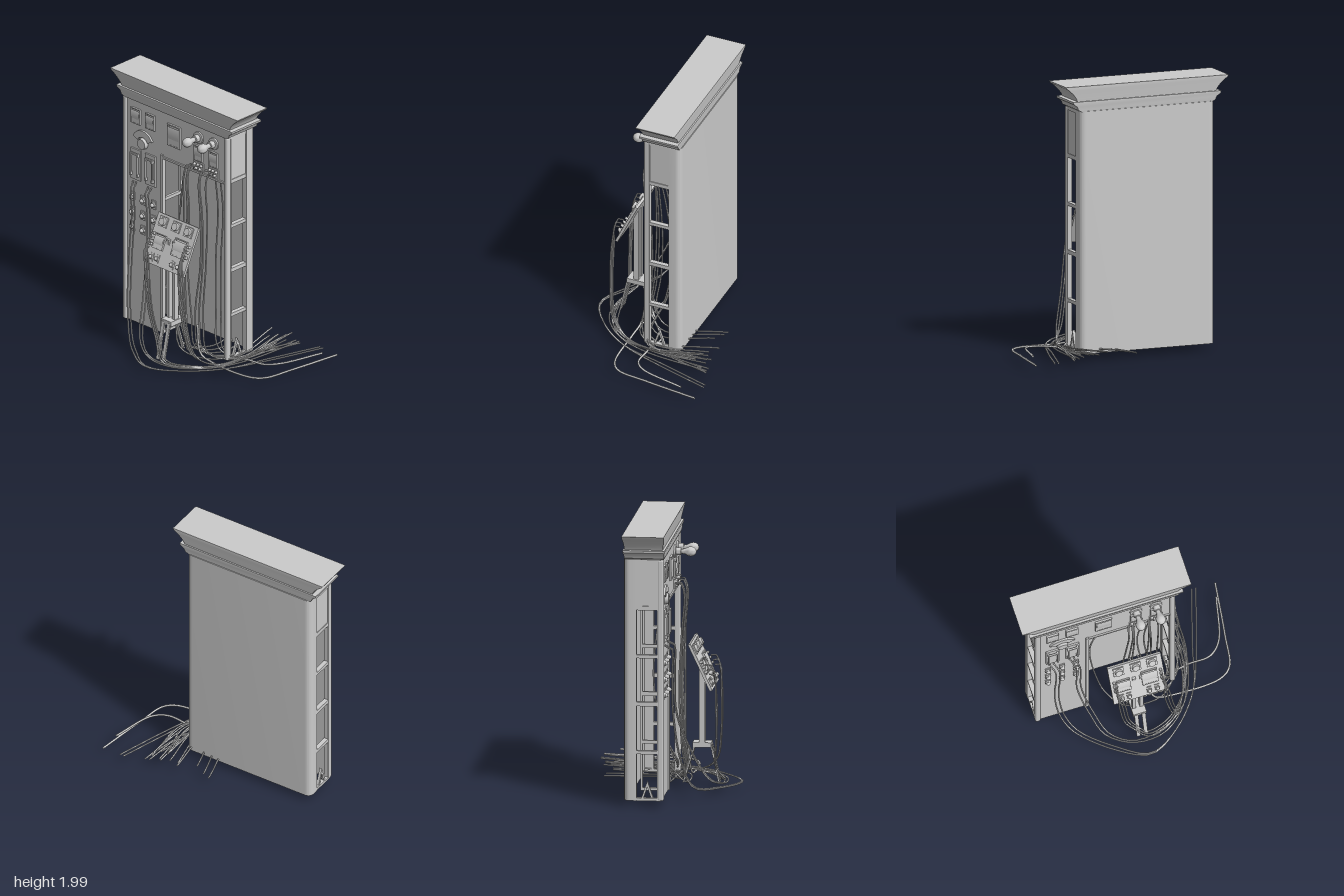
import * as THREE from 'three';
import { RoundedBoxGeometry } from 'three/addons/geometries/RoundedBoxGeometry.js';
import { toCreasedNormals } from 'three/addons/utils/BufferGeometryUtils.js';

const grey = new THREE.MeshStandardMaterial({ color: 0xcccccc, side: THREE.DoubleSide });
const CX = -0.2; // cabinet centre in x
const FACE = 0.052; // front of the panel

function add(parent, name, geo, x = 0, y = 0, z = 0) {
  const m = new THREE.Mesh(geo, grey);
  m.name = name;
  m.position.set(x, y, z);
  parent.add(m);
  return m;
}
const box = (w, h, d) => new THREE.BoxGeometry(w, h, d);
const extrude = (shape, depth) => new THREE.ExtrudeGeometry(shape, { depth, bevelEnabled: false, curveSegments: 10 });
const poly = pts => new THREE.Shape(pts.map(p => new THREE.Vector2(...p)));
const rect = (C, x0, y0, x1, y1) => new C([[x0, y0], [x1, y0], [x1, y1], [x0, y1]].map(p => new THREE.Vector2(...p)));
const disc = (r0, r1, d) => new THREE.CylinderGeometry(r0, r1, d, 18).rotateX(Math.PI / 2);

// Stacked rectangular rings: [y, half width, front z, back z]
function rectLoft(rings) {
  const pos = [], idx = [];
  rings.forEach(([y, hw, zf, zb]) => pos.push(-hw, y, zf, hw, y, zf, hw, y, zb, -hw, y, zb));
  for (let i = 0; i < rings.length - 1; i++) {
    for (let j = 0; j < 4; j++) {
      const a = i * 4 + j, b = i * 4 + (j + 1) % 4;
      idx.push(a, b, b + 4, a, b + 4, a + 4);
    }
  }
  const t = (rings.length - 1) * 4;
  idx.push(0, 2, 1, 0, 3, 2, t, t + 1, t + 2, t, t + 2, t + 3);
  const g = new THREE.BufferGeometry();
  g.setAttribute('position', new THREE.Float32BufferAttribute(pos, 3));
  g.setIndex(idx);
  g.computeVertexNormals();
  return toCreasedNormals(g, 0.6);
}

// Dial meter: raised frame, bulging dial and lower cover
function meter(parent, x, y, w, h) {
  const g = new THREE.Group();
  g.name = 'meter';
  g.position.set(x, y, parent.userData.face);
  const f = rect(THREE.Shape, -w / 2, -h / 2, w / 2, h / 2);
  f.holes.push(rect(THREE.Path, -w * 0.43, -h * 0.44, w * 0.43, h * 0.44));
  add(g, 'meterFrame', extrude(f, 0.014));
  const dial = new THREE.CylinderGeometry(h * 0.35, h * 0.35, w * 0.86, 12, 1, true, -0.9, 1.8).rotateZ(Math.PI / 2);
  const bow = add(g, 'meterDial', dial, 0, h * 0.1, 0.006);
  bow.rotation.x = 0;
  bow.scale.z = 0.03 / h;
  add(g, 'meterCover', box(w * 0.86, h * 0.36, 0.012), 0, -h * 0.26, 0.006);
  parent.add(g);
}

function knob(parent, x, y, s = 1) {
  const z = parent.userData.face;
  add(parent, 'knobPlate', box(0.042 * s, 0.07 * s, 0.008), x, y, z + 0.003);
  add(parent, 'knobRing', disc(0.02 * s, 0.022 * s, 0.014), x, y, z + 0.01);
  add(parent, 'knobCap', new THREE.SphereGeometry(0.016 * s, 12, 8), x, y, z + 0.018);
}

function knifeSwitch(parent, x) {
  add(parent, 'switchPlate', box(0.1, 0.24, 0.014), x, 1.31, FACE + 0.005);
  for (const s of [-1, 1]) {
    add(parent, 'switchBlade', box(0.009, 0.16, 0.012), x + s * 0.034, 1.32, FACE + 0.026);
    for (const y of [1.235, 1.39]) add(parent, 'switchClip', box(0.014, 0.022, 0.026), x + s * 0.034, y, FACE + 0.02);
  }
  add(parent, 'switchLever', box(0.07, 0.012, 0.012), x, 1.4, FACE + 0.028);
}

function socket(parent, x) {
  add(parent, 'socketPlate', box(0.1, 0.07, 0.01), x, 1.495, FACE + 0.004);
  for (const [dx, dy] of [[-0.032, 0.016], [0.032, 0.016], [0, 0.018], [-0.018, -0.014], [0.018, -0.014]])
    add(parent, 'socketPin', disc(0.009, 0.012, 0.024), x + dx, 1.495 + dy, FACE + 0.016);
}

function bulb(parent, x) {
  const profile = [[0, 0.158], [0.018, 0.153], [0.031, 0.138], [0.036, 0.118], [0.032, 0.098], [0.02, 0.076],
    [0.017, 0.05], [0.027, 0.048], [0.027, 0.014], [0.046, 0.012], [0.046, 0]];
  const g = new THREE.LatheGeometry(profile.reverse().map(p => new THREE.Vector2(...p)), 20).rotateX(Math.PI / 2);
  add(parent, 'lampBulb', toCreasedNormals(g, 0.7), x, 1.725, FACE);
}

// Side frame with open bays; shape drawn in (z, y)
function ladder(parent, name, x, thick) {
  const s = rect(THREE.Shape, -0.145, 0.055, 0.045, 1.815);
  for (const [a, b] of [[1.475, 1.79], [1.12, 1.445], [0.775, 1.095], [0.42, 0.745], [0.075, 0.395]])
    s.holes.push(rect(THREE.Path, -0.13, a, 0.02, b));
  add(parent, name, extrude(s, thick).rotateY(-Math.PI / 2), x + thick / 2);
}

function cable(parent, pts, r = 0.006) {
  const c = new THREE.CatmullRomCurve3(pts.map(p => new THREE.Vector3(...p)), false, 'centripetal');
  add(parent, 'cable', new THREE.TubeGeometry(c, 44, r, 6));
}

function buildCabinet(parent) {
  // Back shell with rounded rear corners, drawn in (x, -z)
  const s = new THREE.Shape();
  s.moveTo(-0.525, 0.13).lineTo(-0.525, 0.17).quadraticCurveTo(-0.525, 0.222, -0.475, 0.222);
  s.lineTo(0.475, 0.222).quadraticCurveTo(0.525, 0.222, 0.525, 0.17).lineTo(0.525, 0.13);
  s.lineTo(0.495, 0.13).lineTo(0.495, 0.195).lineTo(-0.495, 0.195).lineTo(-0.495, 0.13);
  add(parent, 'backShell', toCreasedNormals(extrude(s, 1.76).rotateX(-Math.PI / 2), 0.6), CX, 0.055);

  for (const side of [-1, 1]) {
    const x = CX + side * 0.505;
    add(parent, 'frontPost', new RoundedBoxGeometry(0.04, 1.76, 0.045, 3, 0.014), x, 0.935, 0.043);
    ladder(parent, 'sideFrame', x, 0.034);
    add(parent, 'sideTopPanel', box(0.016, 0.33, 0.16), x + side * 0.004, 1.63, -0.055);
    // Peaked foot strut at the base of each side
    const v = poly([[-0.1, 0.06], [-0.052, 0.2], [-0.004, 0.06], [-0.02, 0.06], [-0.052, 0.155], [-0.084, 0.06]]);
    add(parent, 'footStrut', extrude(v, 0.02).rotateY(-Math.PI / 2), x + 0.01);
  }
  ladder(parent, 'innerFrame', -0.345, 0.022);

  // Front panel wraps over and beside the open bay
  const p = poly([[-0.69, 0.06], [-0.34, 0.06], [-0.34, 1.45], [0.285, 1.45], [0.285, 1.815], [-0.69, 1.815]]);
  add(parent, 'frontPanel', extrude(p, 0.022), 0, 0, FACE - 0.022);
  add(parent, 'bayTrim', box(0.02, 1.41, 0.03), -0.335, 0.765, 0.048);
  add(parent, 'bayTrim', box(0.625, 0.016, 0.03), -0.028, 1.45, 0.048);

  add(parent, 'lowerCornice', rectLoft([[1.81, 0.505, 0.064, -0.215], [1.825, 0.535, 0.069, -0.218],
    [1.85, 0.545, 0.07, -0.219], [1.872, 0.575, 0.077, -0.224], [1.888, 0.577, 0.077, -0.224]]), CX + 0.005);
  add(parent, 'upperCornice', rectLoft([[1.886, 0.54, 0.06, -0.213], [1.91, 0.55, 0.064, -0.216],
    [1.94, 0.573, 0.07, -0.219], [1.97, 0.605, 0.075, -0.223], [1.985, 0.627, 0.078, -0.225],
    [2, 0.635, 0.079, -0.225]]), CX + 0.005);
}

function buildInstruments(parent) {
  parent.userData.face = FACE;
  meter(parent, -0.595, 1.69, 0.09, 0.12);
  meter(parent, -0.45, 1.69, 0.09, 0.12);
  meter(parent, -0.213, 1.655, 0.125, 0.17);
  for (const x of [0.03, 0.18]) {
    bulb(parent, x);
    meter(parent, x, 1.6, 0.082, 0.12);
    socket(parent, x);
  }
  // Fan dial with rotary knob
  const fan = new THREE.Shape();
  fan.absarc(0, 0, 0.105, 0.45, Math.PI - 0.45, false);
  fan.absarc(0, 0, 0.055, Math.PI - 0.45, 0.45, true);
  add(parent, 'fanDial', extrude(fan, 0.014), -0.523, 1.49, FACE);
  add(parent, 'rotaryKnob', disc(0.038, 0.044, 0.03), -0.523, 1.495, FACE + 0.013);
  for (const x of [-0.595, -0.447]) knifeSwitch(parent, x);
  for (const x of [-0.63, -0.525, -0.42]) for (const y of [1.045, 0.925, 0.81]) knob(parent, x, y);
}

function buildDesk(parent) {
  const desk = new THREE.Group();
  desk.name = 'tiltedConsole';
  desk.position.set(-0.03, 0.932, 0.268);
  desk.rotation.x = -0.44;
  desk.userData.face = 0.01;
  add(desk, 'consolePlate', box(0.4, 0.37, 0.02));
  for (const x of [-0.125, 0.003, 0.125]) {
    add(desk, 'smallDialPlate', box(0.078, 0.075, 0.012), x, 0.13, 0.013);
    add(desk, 'smallDial', disc(0.026, 0.03, 0.022), x, 0.13, 0.026);
  }
  meter(desk, -0.105, -0.015, 0.1, 0.11);
  meter(desk, 0.09, -0.005, 0.12, 0.13);
  for (const x of [-0.135, -0.08, 0.07, 0.13]) knob(desk, x, -0.135, 0.85);
  for (const x of [-0.172, 0.176]) for (const y of [-0.05, -0.01, 0.03])
    add(desk, 'consolePin', disc(0.009, 0.011, 0.03), x, y, 0.02);
  parent.add(desk);

  // Twin posts, clamp block and splayed strap legs
  for (const x of [-0.055, 0]) {
    add(parent, 'standPost', box(0.026, 0.62, 0.04), x, 0.655, 0.262);
    for (const [z0, z1] of [[0.32, 0.383], [0.205, 0.125]]) {
      const leg = poly([[z0, 0.34], [z0 + 0.012, 0.34], [z1 + 0.008, 0.06], [z1 - 0.004, 0.06]]);
      add(parent, 'standLeg', extrude(leg, 0.028).rotateY(-Math.PI / 2), x + 0.014);
    }
  }
  add(parent, 'standBlock', box(0.1, 0.036, 0.135), -0.027, 0.337, 0.262);
}

function buildCables(parent) {
  // Two pairs from the left switches sweep across the floor and round the right side
  for (const d of [0, 1]) {
    const o = d * 0.03;
    cable(parent, [[-0.62 + o, 1.17, 0.06], [-0.595 + o, 1.14, 0.11], [-0.585 + o, 0.95, 0.11], [-0.6 + o, 0.65, 0.12],
      [-0.57 + o, 0.32, 0.17], [-0.48 + o, 0.11, 0.25], [-0.25, 0.07, 0.44 - o], [-0.01, 0.066, 0.55 - o * 0.3],
      [0.22, 0.066, 0.42], [0.42, 0.07, 0.18], [0.55 - o, 0.07, -0.15], [0.675 - o, 0.07, -0.555]]);
    cable(parent, [[-0.47 + o, 1.17, 0.06], [-0.45 + o, 1.14, 0.11], [-0.43 + o, 0.98, 0.11], [-0.43 + o, 0.65, 0.12],
      [-0.37 + o, 0.35, 0.22], [-0.28 + o, 0.13, 0.34], [-0.1, 0.07, 0.43 - o * 0.5], [0.13, 0.066, 0.42 - o],
      [0.33, 0.068, 0.25], [0.41 + o, 0.075, 0], [0.46 + o, 0.08, -0.5]]);
  }
  // Socket leads: [start x, mid x, low x, end x, end z]
  [[-0.03, -0.09, -0.11, -0.01, -0.45], [0, -0.05, -0.03, 0.04, -0.44], [0.01, -0.02, 0.02, 0.12, -0.4],
    [0.12, 0.09, 0.06, 0.235, -0.485], [0.13, 0.12, 0.1, 0.27, -0.42], [0.19, 0.16, 0.14, 0.325, -0.44]]
    .forEach(([a, b, c, ex, ez], i) => cable(parent, [[a, 1.5, 0.07], [a - 0.01, 1.51, 0.1], [a - 0.015, 1.44, 0.13],
      [(a + b) / 2, 1.15, 0.115], [b, 0.75, 0.1 + 0.008 * (i % 3)], [c, 0.35, 0.12], [c + 0.06, 0.1, 0.13],
      [(c + ex) / 2 + 0.14, 0.07, -0.02], [ex, 0.08 + 0.01 * (i % 4), ez]]));
  // Console leads on both edges
  [[0.375, -0.485], [0.36, -0.4], [0.44, -0.48]].forEach(([ex, ez], i) => {
    const y = 0.88 + i * 0.035, z = 0.33 - i * 0.015, e = i * 0.02;
    cable(parent, [[0.145, y, z], [0.15, y, z + 0.04], [0.14 + e, 0.75, 0.375], [0.18 + e, 0.4, 0.37],
      [0.23 + e, 0.17, 0.33], [0.33, 0.08, 0.2], [0.4 + e, 0.07 + e, -0.05], [ex, 0.1 + e, ez]]);
    cable(parent, [[-0.2, y, z], [-0.2, y, z + 0.04], [-0.195 + e, 0.75, 0.375], [-0.16 + e, 0.42, 0.375],
      [-0.1 + e, 0.2, 0.36], [0.02, 0.075, 0.42 - e], [0.2, 0.066, 0.36 - e], [0.36, 0.07, 0.15],
      [0.42 + e, 0.08 + e, -0.1], [ex + 0.03, 0.08, ez + 0.03]]);
  });
  // Leads hanging inside the bay
  cable(parent, [[-0.15, 1.45, 0], [-0.23, 1.2, -0.04], [-0.28, 0.85, -0.06], [-0.25, 0.45, 0], [-0.19, 0.2, 0.06],
    [-0.08, 0.07, 0.14], [0.2, 0.066, 0.15], [0.4, 0.08, -0.1], [0.5, 0.07, -0.5]]);
  for (const o of [0, 0.05]) cable(parent, [[0.14 + o, 1.45, 0], [0.12 + o, 1.15, -0.05], [0.08 + o, 0.75, -0.07],
    [0.12 + o, 0.35, -0.03], [0.22 + o, 0.13, 0.05], [0.36, 0.08, 0], [0.36 + o, 0.12, -0.42]]);
  // Heavy floor leads to the right, one dipping low
  cable(parent, [[0.06, 0.13, 0.12], [0.16, 0.015, 0], [0.3, 0.05, 0], [0.45, 0.085, -0.015], [0.61, 0.1, -0.02],
    [0.7, 0.11, -0.1], [0.79, 0.11, -0.43]], 0.008);
  cable(parent, [[0.1, 0.3, 0.14], [0.15, 0.1, 0.16], [0.28, 0.07, 0.17], [0.63, 0.066, 0.155], [0.72, 0.066, 0.09],
    [0.765, 0.066, -0.15], [0.82, 0.066, -0.55]], 0.008);
}

export function createModel() {
  const model = new THREE.Group();
  model.name = 'switchboard';
  for (const [name, build] of [['cabinet', buildCabinet], ['instruments', buildInstruments],
    ['consoleStand', buildDesk], ['cables', buildCables]]) {
    const g = new THREE.Group();
    g.name = name;
    build(g);
    model.add(g);
  }
  return model;
}
